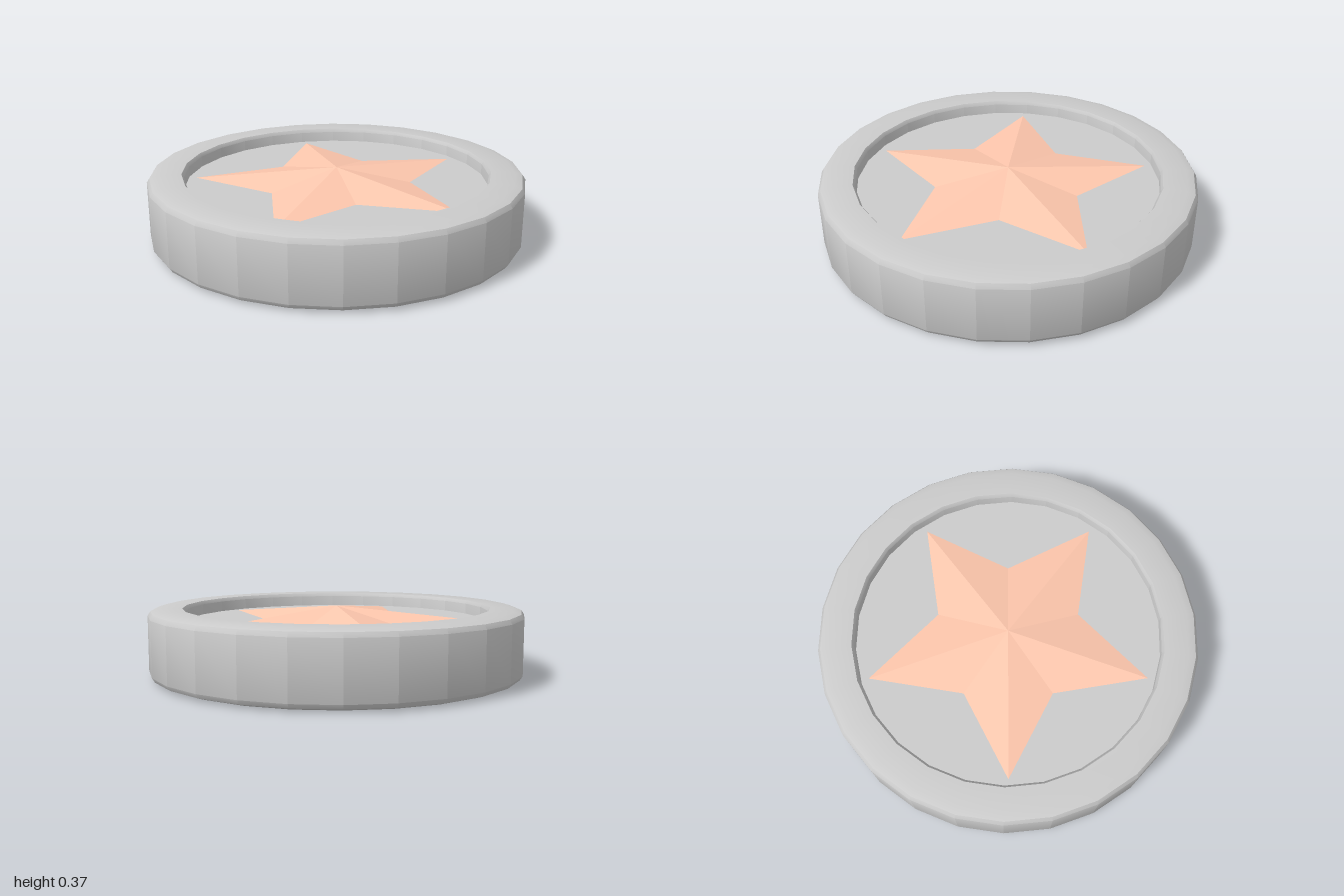
import * as THREE from 'three';
import { toCreasedNormals } from 'three/addons/utils/BufferGeometryUtils.js';

const SIDES = 26;
const HEIGHT = 0.362;
const MID = HEIGHT / 2;
const DISC_HALF = 0.106; // half thickness of the recessed disc

// Ring with softened outer corners and a small inner bevel, mirrored top to bottom
function rimGeometry() {
  const upper = [[1, 0.145], [0.985, 0.168], [0.945, MID], [0.82, MID], [0.808, 0.163]];
  const lower = upper.map(([r, y]) => [r, -y]).reverse();
  const loop = [...upper, ...lower, upper[0]].map(([r, y]) => new THREE.Vector2(r, y));
  return toCreasedNormals(new THREE.LatheGeometry(loop, SIDES, Math.PI / 2), 0.6);
}

// Five-pointed star: ten outline corners joined to a raised centre above and below
function starGeometry(outer, inner, rise) {
  const corner = (i) => {
    const r = i % 2 ? inner : outer;
    const a = (i * Math.PI) / 5;
    return [r * Math.sin(a), r * Math.cos(a)];
  };
  const positions = [];
  for (const s of [1, -1]) {
    const base = s * (DISC_HALF + 0.001);
    for (let i = 0; i < 10; i++) {
      const [p, q] = s > 0 ? [corner(i), corner(i + 1)] : [corner(i + 1), corner(i)];
      positions.push(p[0], base, p[1], q[0], base, q[1], 0, s * rise, 0);
    }
  }
  const geometry = new THREE.BufferGeometry();
  geometry.setAttribute('position', new THREE.Float32BufferAttribute(positions, 3));
  geometry.computeVertexNormals();
  return geometry;
}

export function createModel() {
  const group = new THREE.Group();
  group.name = 'starCoin';
  const grey = new THREE.MeshStandardMaterial({ color: 0xcccccc });
  const peach = new THREE.MeshStandardMaterial({ color: 0xffc8ae });

  const add = (name, geometry, material) => {
    const mesh = new THREE.Mesh(geometry, material);
    mesh.name = name;
    mesh.position.y = MID;
    group.add(mesh);
  };

  add('rim', rimGeometry(), grey);
  add('recessedDisc',
    new THREE.CylinderGeometry(0.81, 0.81, DISC_HALF * 2, SIDES, 1, false, Math.PI / 2), grey);
  add('star', starGeometry(0.766, 0.394, MID + 0.003), peach);
  return group;
}
